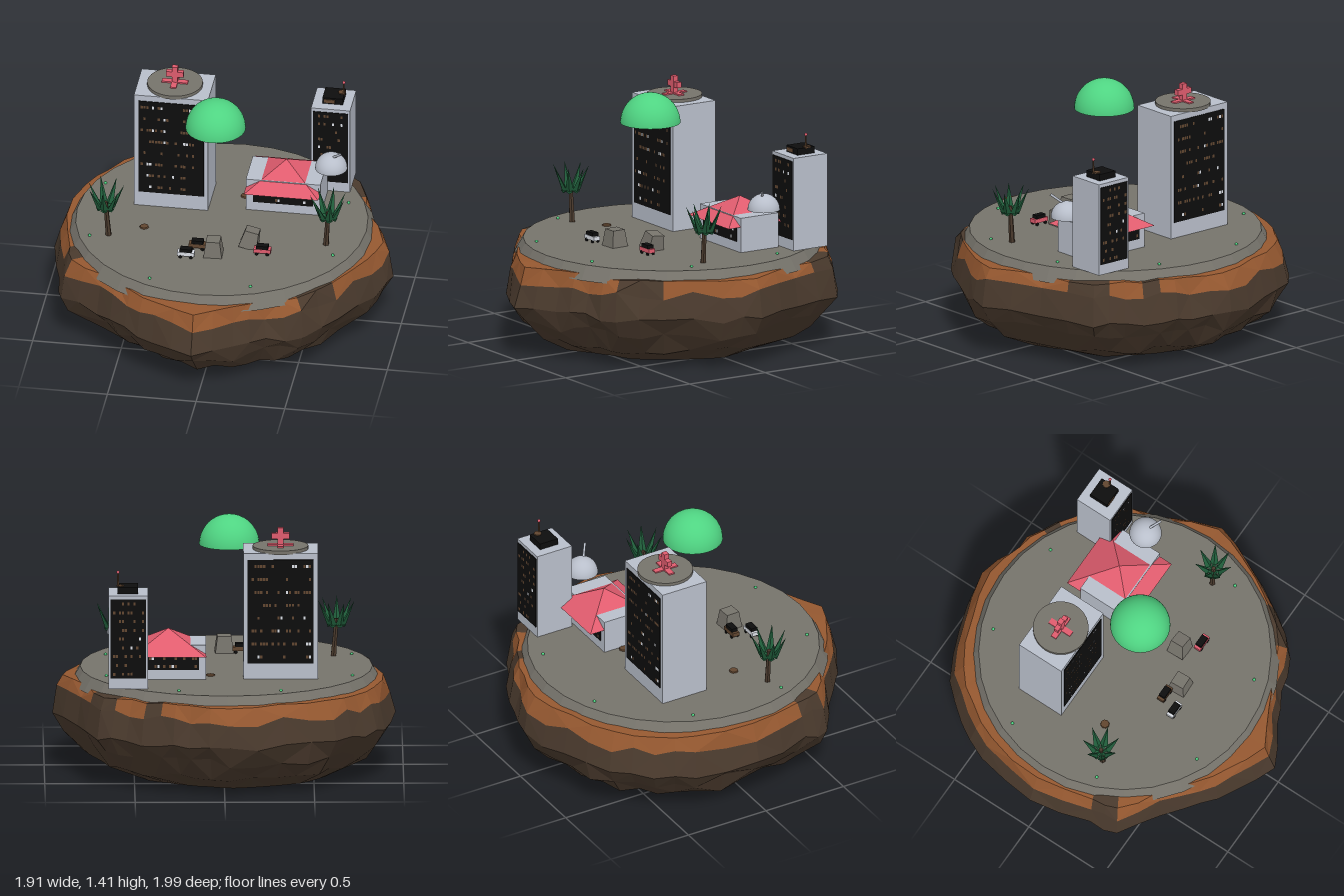
import * as THREE from 'three';
import { mergeGeometries } from 'three/addons/utils/BufferGeometryUtils.js';

const mat = (name, color, extra = {}) => {
  const m = new THREE.MeshStandardMaterial({ color, ...extra });
  m.name = name;
  return m;
};

export function createModel() {
  const M = {
    wall: mat('pale grey wall', 0xb9bfcb),
    deck: mat('warm grey ground', 0x76736b, { flatShading: true }),
    rock: mat('dark brown rock', 0x4a3a2d, { flatShading: true }),
    soil: mat('orange soil', 0x955830, { flatShading: true }),
    red: mat('coral red', 0xe05c6e),
    green: mat('bright green', 0x4fd482, { side: THREE.DoubleSide }),
    leaf: mat('dark leaf green', 0x1f5c3a, { flatShading: true }),
    black: mat('black glass', 0x0d0d0d),
    lamp: mat('dim window brown', 0x614630),
    white: mat('lit window white', 0xdfe3ea),
  };
  const root = new THREE.Group();
  root.name = 'floatingIsland';
  let seed = 7;
  const rnd = () => (seed = (seed * 16807) % 2147483647) / 2147483647;
  const jit = (a) => (rnd() - 0.5) * 2 * a;

  const add = (parent, name, geo, material, x = 0, y = 0, z = 0) => {
    const m = new THREE.Mesh(geo, material);
    m.name = name;
    m.position.set(x, y, z);
    parent.add(m);
    return m;
  };
  const group = (name, x = 0, y = 0, z = 0) => {
    const g = new THREE.Group();
    g.name = name;
    g.position.set(x, y, z);
    root.add(g);
    return g;
  };
  // Box given by its lower and upper corners
  const block = (parent, name, material, x0, x1, y0, y1, z0, z1) =>
    add(parent, name, new THREE.BoxGeometry(x1 - x0, y1 - y0, z1 - z0), material,
      (x0 + x1) / 2, (y0 + y1) / 2, (z0 + z1) / 2);
  const G = 0.57; // ground height

  // Rocky base: rings of an uneven outline, the top band in orange soil
  const outline = [[0.96, -0.01], [0.89, 0.2], [0.73, 0.5], [0.56, 0.71], [0.36, 0.78], [0.19, 0.87],
    [-0.03, 1], [-0.27, 0.89], [-0.44, 0.78], [-0.62, 0.63], [-0.85, 0.49], [-0.88, 0.33],
    [-0.96, -0.02], [-0.9, -0.39], [-0.79, -0.6], [-0.625, -0.79], [-0.34, -0.92], [-0.03, -1],
    [0.2, -0.93], [0.37, -0.87], [0.55, -0.76], [0.71, -0.67], [0.82, -0.34]];
  const cols = outline.flatMap((p, i) => {
    const q = outline[(i + 1) % outline.length];
    return [p, [(p[0] + q[0]) * 0.505, (p[1] + q[1]) * 0.505]];
  });
  const profile = [[0, 0.63, 0, 0], [0.09, 0.825, 0.02, 0.025], [0.2, 0.93, 0.03, 0.02],
    [0.3, 0.995, 0.02, 0.004], [0.44, 0.965, 0.025, 0.01], [0.52, 0.93, 0.008, 0.012], [0.525, 0.8, 0, 0]];
  const rings = profile.map(([y, s, jy, js]) => cols.map(([x, z]) => {
    const k = s + jit(js);
    return [x * k - (y === 0 ? 0.03 : 0), y + jit(jy), z * k];
  }));
  const rockPos = [], soilPos = [];
  const n = cols.length;
  for (let i = 0; i < n; i++) {
    const k = (i + 1) % n;
    rockPos.push(-0.03, 0, 0, ...rings[0][i], ...rings[0][k]);
    for (let j = 0; j < rings.length - 1; j++) {
      const a = rings[j][i], b = rings[j][k], c = rings[j + 1][i], d = rings[j + 1][k];
      const bare = [4, 5, 20, 21, 38, 41, 42].includes(i);
      const out = j >= 4 && !bare ? soilPos : rockPos;
      if ((i + j) % 2) out.push(...a, ...c, ...b, ...b, ...c, ...d);
      else out.push(...a, ...c, ...d, ...a, ...d, ...b);
    }
  }
  for (const [name, pos, m] of [['rockBase', rockPos, M.rock], ['soilRim', soilPos, M.soil]]) {
    const g = new THREE.BufferGeometry();
    g.setAttribute('position', new THREE.Float32BufferAttribute(pos, 3));
    g.computeVertexNormals();
    add(root, name, g, m);
  }

  // Round ground slab with small markers round its edge
  add(root, 'groundSlab', new THREE.CylinderGeometry(0.815, 0.862, 0.08, 32), M.deck, -0.03 + 0.015, G - 0.04, -0.022);
  for (let i = 0; i < 8; i++) {
    const a = (i + 0.5) * Math.PI / 4;
    add(root, 'edgeMarker', new THREE.SphereGeometry(0.009, 8, 6), M.green,
      -0.03 + 0.742 * Math.cos(a), G + 0.003, -0.02 + 0.742 * Math.sin(a));
  }
  for (const [x, z] of [[-0.43, 0.125], [0.075, -0.29]])
    add(root, 'groundPatch', new THREE.CylinderGeometry(0.024, 0.026, 0.008, 8), M.lamp, x, G + 0.004, z);

  // Dark glass with scattered lit windows, on front and back
  const glazing = (parent, x0, x1, y0, y1, zBack, zFront, rows, fill) => {
    for (const [z, s] of [[zFront, 1], [zBack, -1]]) {
      block(parent, 'glassPanel', M.black, x0, x1, y0, y1, z - 0.004, z + 0.004);
      const lit = { lamp: [], white: [] };
      const count = Math.floor((x1 - x0 - 0.02) / 0.016), step = (y1 - y0) / rows;
      for (let r = 0; r < rows; r++) for (let c = 0; c < count; c++) {
        if (rnd() > fill) continue;
        const g = new THREE.PlaneGeometry(0.012, 0.017);
        if (s < 0) g.rotateY(Math.PI);
        g.translate(x0 + 0.018 + c * 0.016, y0 + (r + 0.5) * step, z + s * 0.006);
        lit[rnd() < 0.18 ? 'white' : 'lamp'].push(g);
      }
      for (const key in lit)
        if (lit[key].length) add(parent, key + 'Windows', mergeGeometries(lit[key]), M[key]);
    }
  };

  // Hospital block with roof pad and crosses
  const hospital = group('hospital');
  block(hospital, 'hospitalWalls', M.wall, -0.524, -0.107, G, 1.285, -0.388, -0.105);
  glazing(hospital, -0.497, -0.13, 0.66, 1.25, -0.388, -0.105, 8, 0.42);
  add(hospital, 'roofPad', new THREE.CylinderGeometry(0.155, 0.155, 0.022, 32), M.deck, -0.315, 1.292, -0.25);
  block(hospital, 'flatCrossBar', M.red, -0.388, -0.242, 1.3, 1.311, -0.267, -0.233);
  block(hospital, 'flatCrossBar', M.red, -0.332, -0.298, 1.3, 1.31, -0.322, -0.178);
  block(hospital, 'crossPost', M.red, -0.331, -0.299, 1.31, 1.405, -0.265, -0.235);
  block(hospital, 'crossArm', M.red, -0.364, -0.266, 1.342, 1.374, -0.264, -0.236);

  // Slim tower with roof plant and mast
  const tower = group('tower');
  block(tower, 'towerWalls', M.wall, 0.425, 0.645, G, 1.1, -0.643, -0.42);
  glazing(tower, 0.436, 0.634, 0.63, 1.08, -0.643, -0.42, 9, 0.3);
  block(tower, 'roofPlant', M.black, 0.48, 0.595, 1.1, 1.137, -0.592, -0.478);
  block(tower, 'roofPlantVent', M.lamp, 0.49, 0.55, 1.108, 1.128, -0.48, -0.474);
  add(tower, 'mastFoot', new THREE.CylinderGeometry(0.022, 0.022, 0.006, 8), M.lamp, 0.58, 1.139, -0.55);
  add(tower, 'mast', new THREE.CylinderGeometry(0.004, 0.006, 0.08, 8), M.lamp, 0.592, 1.17, -0.535);
  add(tower, 'mastLamp', new THREE.SphereGeometry(0.009, 10, 8), M.red, 0.592, 1.212, -0.535);

  // Low house with pyramid roof
  const house = group('house');
  block(house, 'houseWalls', M.wall, 0.1, 0.52, G, 0.767, -0.4, -0.15);
  glazing(house, 0.14, 0.48, 0.625, 0.715, -0.4, -0.15, 2, 0.25);
  const roof = new THREE.ConeGeometry(0.21 * Math.SQRT2, 0.125, 4).toNonIndexed();
  roof.rotateY(Math.PI / 4);
  roof.computeVertexNormals();
  add(house, 'pyramidRoof', roof, M.red, 0.31, 0.7775, -0.28);

  // Half domes: a closed hemisphere
  const dome = (parent, name, r, m, x, y, z) => {
    add(parent, name, new THREE.SphereGeometry(r, 32, 12, 0, Math.PI * 2, 0, Math.PI / 2), m, x, y, z);
    add(parent, name + 'Base', new THREE.CircleGeometry(r, 32).rotateX(Math.PI / 2), m, x, y, z);
  };
  dome(root, 'floatingDome', 0.168, M.green, -0.032, 1.238, 0.093);
  const radar = group('radar');
  dome(radar, 'radarDome', 0.09, M.wall, 0.562, 0.81, -0.275);
  const rod = new THREE.LineCurve3(new THREE.Vector3(0.565, 0.88, -0.265), new THREE.Vector3(0.632, 0.942, -0.215));
  add(radar, 'radarRod', new THREE.TubeGeometry(rod, 1, 0.007, 8), M.wall);

  // Palms: leaning trunk and a crown of upright spiky leaves
  const palm = (x, z, turn, lean) => {
    const p = group('palm', x, G, z);
    const trunk = new THREE.CylinderGeometry(0.012, 0.017, 0.215, 6);
    add(p, 'palmTrunk', trunk, M.rock, 0, 0.105, 0).rotation.z = lean;
    for (let i = 0; i < 7; i++) {
      const arm = new THREE.Group();
      arm.name = 'palmLeaf';
      arm.position.set(-lean * 0.1, 0.18, 0);
      arm.rotation.y = turn + i * Math.PI * 2 / 7;
      const tip = new THREE.ConeGeometry(0.024, 0.15, 4).scale(0.6, 1, 1);
      add(arm, 'leafBlade', tip, M.leaf, 0.072, 0.072, 0).rotation.z = -0.44;
      const stem = new THREE.ConeGeometry(0.02, 0.055, 4).scale(0.6, 1, 1);
      add(arm, 'leafStem', stem, M.leaf, 0.022, -0.002, 0).rotation.z = Math.PI / 2;
      p.add(arm);
    }
  };
  palm(-0.622, 0.235, 0.2, 0.08);
  palm(0.605, 0.15, 0.5, -0.06);

  // Boulders: tapered blocks
  for (const [x, z, tilt, turn] of [[-0.005, 0.345, 0, 0.05], [0.185, 0.215, -0.22, 0]]) {
    const g = new THREE.CylinderGeometry(0.055, 0.074, 0.1, 4, 2).rotateY(Math.PI / 4);
    const b = add(root, 'boulder', g, M.deck, x, G + 0.045, z);
    b.rotation.set(tilt * 0.4, turn, tilt);
  }

  // Small cars
  for (const [x, z, m] of [[0.265, 0.305, M.red], [-0.15, 0.402, M.white], [-0.1, 0.305, M.lamp]]) {
    const car = group('car', x, G, z);
    block(car, 'carBody', m, -0.048, 0.048, 0.015, 0.038, -0.021, 0.021);
    block(car, 'carCabin', M.black, -0.033, 0.033, 0.038, 0.058, -0.019, 0.019);
    for (const wx of [-0.03, 0.03]) for (const wz of [-0.018, 0.018])
      add(car, 'wheel', new THREE.CylinderGeometry(0.01, 0.01, 0.008, 10).rotateX(Math.PI / 2), M.black, wx, 0.01, wz);
  }
  return root;
}
